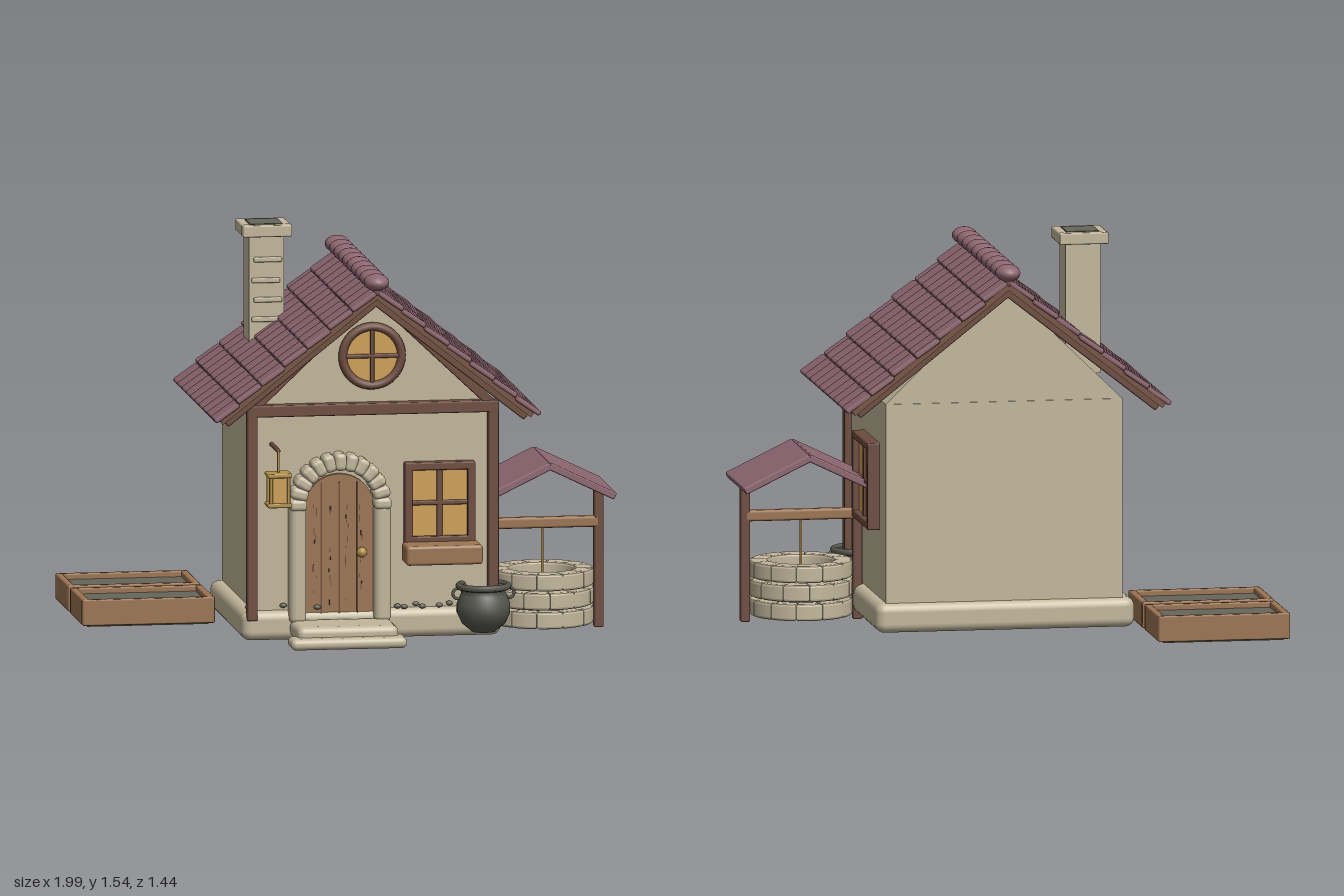
import * as THREE from 'three';
import { RoundedBoxGeometry } from 'three/addons/geometries/RoundedBoxGeometry.js';

const material = (name, color, side = THREE.FrontSide) => {
  const m = new THREE.MeshStandardMaterial({ color, side });
  m.name = name;
  return m;
};

export function createModel() {
  const M = {
    stone: material('pale stone', 0xc2b79c),
    tile: material('mauve tile', 0x8d6671),
    timber: material('dark timber', 0x6c4b3d),
    deck: material('roof deck brown', 0x765440),
    wood: material('warm wood', 0x9c7452),
    glass: material('amber glass', 0xcf9f56),
    brass: material('brass', 0xb3904a),
    iron: material('dark iron', 0x56564e, THREE.DoubleSide),
    soil: material('dark soil', 0x66665b),
  };
  const root = new THREE.Group();
  root.name = 'cottage';
  const CX = 0.043;

  function add(parent, name, geo, mat, x = 0, y = 0, z = 0) {
    const mesh = new THREE.Mesh(geo, mat);
    mesh.name = name;
    mesh.position.set(x, y, z);
    parent.add(mesh);
    return mesh;
  }
  function group(name, x = 0, y = 0, z = 0, parent = root) {
    const g = new THREE.Group();
    g.name = name;
    g.position.set(x, y, z);
    parent.add(g);
    return g;
  }
  // softly rounded block
  const block = (p, name, mat, w, h, d, x, y, z, r = 0.006, seg = 1) =>
    add(p, name, new RoundedBoxGeometry(w, h, d, seg, Math.min(r, w / 2.05, h / 2.05, d / 2.05)), mat, x, y, z);
  // beam between two points in a plane of constant z
  function beam(p, name, mat, x0, y0, x1, y1, z, t, d) {
    const b = block(p, name, mat, Math.hypot(x1 - x0, y1 - y0), t, d, (x0 + x1) / 2, (y0 + y1) / 2, z);
    b.rotation.z = Math.atan2(y1 - y0, x1 - x0);
    return b;
  }

  // Foundation, walls and gable
  block(root, 'foundation', M.stone, 1.0, 0.115, 0.82, 0.04, 0.0775, 0.05, 0.035, 3);
  add(root, 'walls', new THREE.BoxGeometry(0.915, 0.8, 0.765), M.stone, CX, 0.5, 0.0475);
  const gable = new THREE.Shape([[-0.4575, 0.9], [0.4575, 0.9], [0, 1.345]].map(p => new THREE.Vector2(...p)));
  add(root, 'gable', new THREE.ExtrudeGeometry(gable, { depth: 0.757, bevelEnabled: false }), M.stone, CX, 0, -0.33);

  // Front timber frame
  for (const s of [-1, 1]) {
    block(root, 'cornerPost', M.timber, 0.04, 0.8, 0.045, CX + s * 0.465, 0.5, 0.452);
    beam(root, 'gableTimber', M.timber, CX + s * 0.47, 0.905, CX, 1.35, 0.447, 0.035, 0.04);
  }
  block(root, 'crossBeam', M.timber, 0.97, 0.045, 0.05, CX, 0.907, 0.45);

  // Roof slopes: deck, fascia and staggered tiles
  const pitch = Math.atan2(0.485, 0.615), rows = 7, rowLen = 0.112;
  for (const s of [-1, 1]) {
    const slope = group('roofSlope', CX, 1.362, 0);
    slope.rotation.z = -s * pitch;
    add(slope, 'roofDeck', new THREE.BoxGeometry(0.765, 0.022, 1.005), M.deck, s * 0.385, -0.004, 0.062);
    block(slope, 'fascia', M.timber, 0.75, 0.035, 0.025, s * 0.382, -0.022, 0.535);
    block(slope, 'fascia', M.timber, 0.75, 0.035, 0.025, s * 0.382, -0.022, -0.41);
    for (let r = 0; r < rows; r++) {
      const odd = r % 2, front = odd ? 0.575 : 0.594;
      // shifted rows begin and end on a part tile
      const edges = [front];
      for (let i = odd ? 0.5 : 1; i < 10; i++) edges.push(front - i * 0.104);
      edges.push(front - 1.04);
      for (let i = 0; i + 1 < edges.length; i++) {
        const t = block(slope, 'roofTile', M.tile, rowLen, 0.02, edges[i] - edges[i + 1] - 0.007,
          s * (0.785 - (r + 0.5) * rowLen), 0.014, (edges[i] + edges[i + 1]) / 2, 0.008);
        t.rotation.z = s * 0.06;
      }
    }
  }
  for (let i = 0; i < 10; i++)
    add(root, 'ridgeTile', new THREE.SphereGeometry(1, 20, 12), M.tile, CX, 1.408, 0.548 - i * 0.1068)
      .scale.set(0.048, 0.033, 0.06);

  // Open rectangular frame lying flat
  function tray(p, name, mat, w, d, h, t, x, y, z) {
    const g = group(name, x, y, z, p);
    for (const s of [-1, 1]) {
      block(g, 'longSide', mat, w, h, t, 0, 0, s * (d - t) / 2);
      block(g, 'shortSide', mat, t, h, d - 2 * t + 0.01, s * (w - t) / 2, 0, 0);
    }
    return g;
  }

  // Chimney
  const chimney = group('chimney', -0.275, 0, -0.192);
  add(chimney, 'shaft', new THREE.BoxGeometry(0.135, 0.51, 0.14), M.stone, 0, 1.245, 0);
  tray(chimney, 'cap', M.stone, 0.19, 0.195, 0.045, 0.035, 0, 1.512, 0);
  add(chimney, 'flue', new THREE.BoxGeometry(0.125, 0.04, 0.13), M.soil, 0, 1.517, 0);
  [1.17, 1.245, 1.32, 1.4].forEach((y, i) =>
    block(chimney, 'brickCourse', M.stone, 0.11, 0.02, 0.016, i % 2 ? 0.004 : -0.004, y, 0.072));

  // Planter boxes
  for (const z of [-0.56, -0.2]) {
    const planter = tray(root, 'planter', M.wood, 0.51, 0.32, 0.1, 0.028, -0.742, 0.066, z);
    add(planter, 'soil', new THREE.BoxGeometry(0.465, 0.085, 0.275), M.soil, 0, -0.014, 0);
  }

  // Cross-barred windows facing +z
  function crossWindow(name, w, h, x, y, z) {
    const g = group(name, x, y, z), t = 0.03;
    add(g, 'pane', new THREE.BoxGeometry(w - t, h - t, 0.03), M.glass, 0, 0, 0);
    for (const s of [-1, 1]) {
      block(g, 'jamb', M.timber, t, h, 0.055, s * (w - t) / 2, 0, 0.01);
      block(g, 'rail', M.timber, w, t, 0.055, 0, s * (h - t) / 2, 0.01);
    }
    block(g, 'mullion', M.timber, 0.022, h - t, 0.025, 0, 0, 0.012);
    block(g, 'crossBar', M.timber, w - t, 0.018, 0.025, 0, 0, 0.012);
    return g;
  }
  crossWindow('frontWindow', 0.272, 0.315, 0.302, 0.538, 0.435);
  crossWindow('sideWindow', 0.352, 0.335, 0.51, 0.563, -0.02).rotation.y = Math.PI / 2;
  block(root, 'windowBox', M.wood, 0.295, 0.075, 0.13, 0.302, 0.353, 0.52, 0.012, 2);

  // Round gable window
  const round = group('roundWindow', CX, 1.108, 0.435);
  add(round, 'roundPane', new THREE.CylinderGeometry(0.112, 0.112, 0.02, 32), M.glass).rotation.x = Math.PI / 2;
  add(round, 'roundFrame', new THREE.TorusGeometry(0.113, 0.017, 10, 40), M.timber, 0, 0, 0.008);
  block(round, 'mullion', M.timber, 0.016, 0.22, 0.02, 0, 0, 0.01);
  block(round, 'crossBar', M.timber, 0.22, 0.016, 0.02, 0, 0, 0.01);

  // Arched door with planks and weathering
  const door = group('door', -0.085, 0, 0.43);
  const arch = new THREE.Shape();
  arch.moveTo(-0.137, 0.09);
  arch.lineTo(0.137, 0.09);
  arch.lineTo(0.137, 0.52);
  arch.absarc(0, 0.52, 0.137, 0, Math.PI);
  add(door, 'doorLeaf', new THREE.ExtrudeGeometry(arch, { depth: 0.02, bevelEnabled: false, curveSegments: 20 }), M.wood);
  for (const x of [-0.07, 0, 0.07])
    add(door, 'plankGroove', new THREE.BoxGeometry(0.005, 0.53, 0.003), M.timber, x, 0.36, 0.021);
  let seed = 7;
  const rand = () => (seed = (seed * 16807) % 2147483647) / 2147483647;
  for (let i = 0; i < 36; i++)
    add(door, 'woodCrack', new THREE.BoxGeometry(0.004, 0.008 + rand() * 0.02, 0.003), M.timber,
      [-0.095, -0.04, 0.03, 0.085][i % 4] + (rand() - 0.5) * 0.018, 0.14 + rand() * 0.42, 0.021);
  add(door, 'doorKnob', new THREE.SphereGeometry(0.02, 16, 10), M.brass, 0.085, 0.355, 0.035);

  // Stone door surround and steps
  for (const s of [-1, 1])
    block(door, 'doorJamb', M.stone, 0.065, 0.46, 0.085, s * 0.163, 0.315, 0.025, 0.025, 3);
  for (let i = 0; i < 13; i++) {
    const a = Math.PI * i / 12;
    block(door, 'archStone', M.stone, 0.068, 0.047, 0.09, Math.cos(a) * 0.163, 0.545 + Math.sin(a) * 0.163, 0.028, 0.018, 3)
      .rotation.z = a;
  }
  block(root, 'upperStep', M.stone, 0.39, 0.065, 0.22, -0.083, 0.068, 0.56, 0.025, 3);
  block(root, 'lowerStep', M.stone, 0.447, 0.043, 0.115, -0.086, 0.041, 0.662, 0.02, 3);

  // Pebbles along the foundation
  for (const x of [-0.435, -0.42, -0.3, -0.17, 0.14, 0.165, 0.21, 0.235, 0.3, 0.34, 0.4])
    add(root, 'pebble', new THREE.IcosahedronGeometry(0.012, 1), M.soil, x, 0.14 + rand() * 0.016, 0.443 + rand() * 0.012)
      .scale.set(1.2, 0.8, 1);

  // Hanging lantern
  const lantern = group('lantern', -0.343, 0, 0.602);
  block(lantern, 'bracket', M.timber, 0.016, 0.016, 0.18, 0, 0.775, -0.085);
  add(lantern, 'hanger', new THREE.CylinderGeometry(0.005, 0.005, 0.09, 8), M.brass, 0, 0.73, 0);
  block(lantern, 'lanternGlass', M.glass, 0.066, 0.11, 0.066, 0, 0.625, 0);
  for (const y of [0.569, 0.684]) block(lantern, 'lanternCap', M.brass, 0.094, 0.017, 0.09, 0, y, 0);
  for (const x of [-1, 1]) for (const z of [-1, 1])
    block(lantern, 'lanternCorner', M.brass, 0.013, 0.115, 0.013, x * 0.034, 0.627, z * 0.034, 0.003);

  // Cauldron
  const pot = group('cauldron', 0.466, 0, 0.485);
  const profile = [[0, 0.035], [0.045, 0.043], [0.083, 0.075], [0.102, 0.115], [0.102, 0.15], [0.088, 0.185],
    [0.08, 0.205], [0.098, 0.225], [0.085, 0.225], [0.07, 0.2], [0, 0.185]].map(p => new THREE.Vector2(...p));
  add(pot, 'potBody', new THREE.LatheGeometry(profile, 32), M.iron);
  add(pot, 'potRim', new THREE.TorusGeometry(0.094, 0.013, 8, 32), M.iron, 0, 0.218, 0).rotation.x = Math.PI / 2;
  for (const s of [-1, 1])
    add(pot, 'potHandle', new THREE.TorusGeometry(0.02, 0.006, 8, 16), M.iron, s * 0.098, 0.19, 0);

  // Well: three staggered rings of wedge stones
  const well = group('well', 0.741, 0, 0.172);
  const count = 12, half = Math.PI / count - 0.045;
  const wedge = new THREE.Shape();
  wedge.absarc(0, 0, 0.188, -half, half, false);
  wedge.absarc(0, 0, 0.135, half, -half, true);
  wedge.closePath();
  const stoneGeo = new THREE.ExtrudeGeometry(wedge, {
    depth: 0.046, bevelThickness: 0.01, bevelSize: 0.008, bevelSegments: 2, curveSegments: 4 });
  stoneGeo.rotateX(-Math.PI / 2);
  for (let r = 0; r < 3; r++)
    for (let i = 0; i < count; i++)
      add(well, 'wellStone', stoneGeo, M.stone, 0, 0.034 + r * 0.073, 0).rotation.y = (i + r / 2) * Math.PI * 2 / count;
  add(well, 'wellFloor', new THREE.CylinderGeometry(0.15, 0.15, 0.07, 32), M.soil, 0, 0.065, 0);
  add(well, 'rope', new THREE.CylinderGeometry(0.005, 0.005, 0.3, 8), M.brass, 0, 0.25, 0);
  block(well, 'windlassBeam', M.wood, 0.44, 0.042, 0.042, 0, 0.408, 0, 0.01);
  for (const s of [-1, 1]) {
    block(well, 'wellPost', M.timber, 0.036, 0.54, 0.04, s * 0.217, 0.27, 0);
    beam(well, 'wellRoof', M.tile, s * 0.252, 0.532, -s * 0.004, 0.656, -0.002, 0.028, 0.418);
  }
  return root;
}
